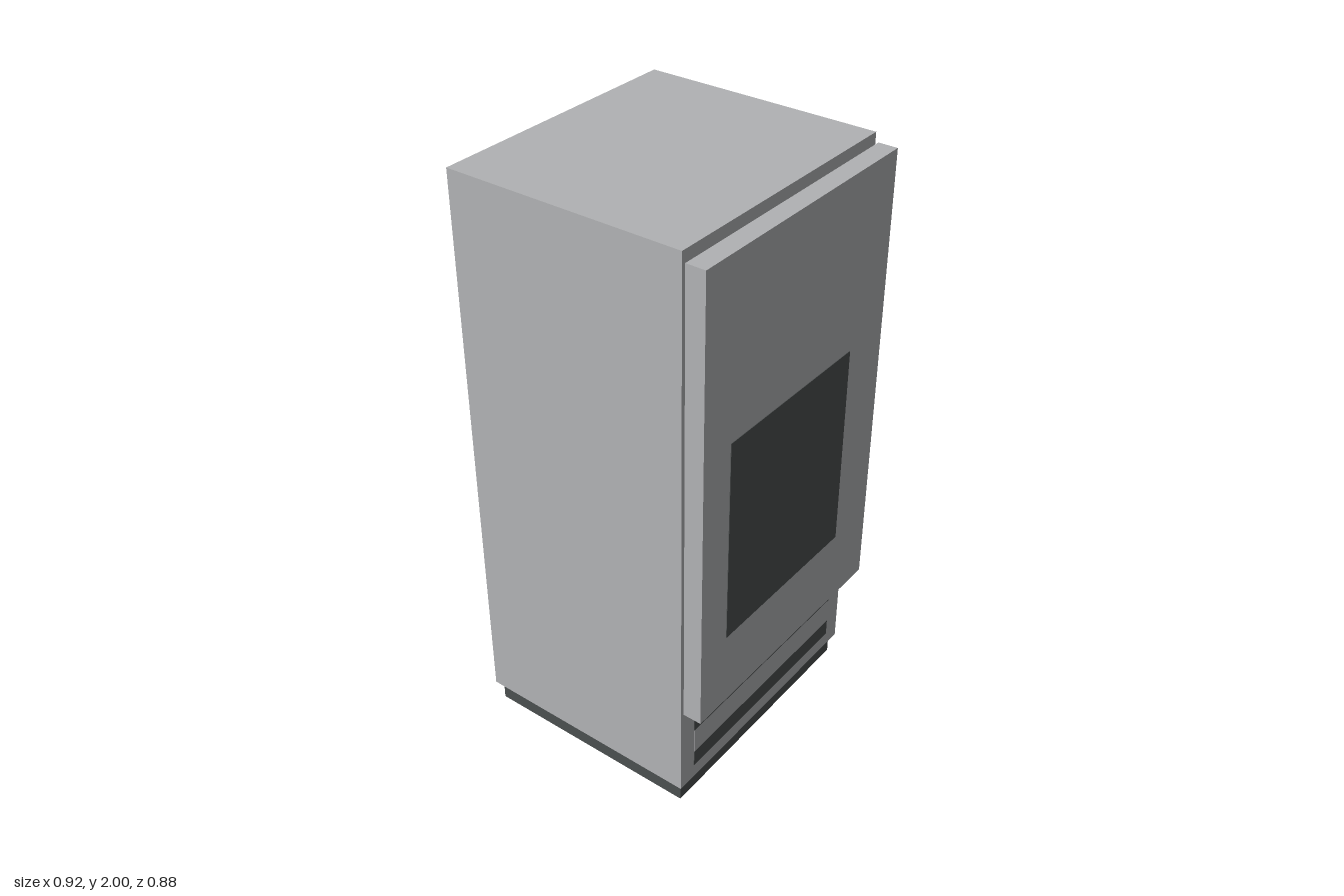
import * as THREE from 'three';

export function createModel() {
  const steel = new THREE.MeshStandardMaterial({ color: 0xb1b2b4 });
  steel.name = 'steelGrey';
  const dark = new THREE.MeshStandardMaterial({ color: 0x4b4f4f, side: THREE.DoubleSide });
  dark.name = 'darkGrey';

  const model = new THREE.Group();
  model.name = 'cabinet';

  // Box given by its lower and upper corners
  function box(name, material, [x0, y0, z0], [x1, y1, z1]) {
    const geometry = new THREE.BoxGeometry(x1 - x0, y1 - y0, z1 - z0);
    const mesh = new THREE.Mesh(geometry, material);
    mesh.name = name;
    mesh.position.set((x0 + x1) / 2, (y0 + y1) / 2, (z0 + z1) / 2);
    model.add(mesh);
    return mesh;
  }

  // Main cabinet and the door standing just in front of it
  box('body', steel, [-0.46, 0.072, -0.44], [0.46, 2, 0.366]);
  box('door', steel, [-0.46, 0.412, 0.376], [0.46, 1.97, 0.44]);

  // Door window, off-centre
  box('window', dark, [-0.335, 0.675, 0.437], [0.275, 1.385, 0.442]);

  // Two dark ventilation slots with a steel strip between them
  box('upperVent', dark, [-0.392, 0.282, 0.364], [0.392, 0.362, 0.368]);
  box('ventStrip', steel, [-0.392, 0.187, 0.364], [0.392, 0.282, 0.368]);
  box('lowerVent', dark, [-0.392, 0.125, 0.364], [0.392, 0.187, 0.368]);

  // Recessed plinth: four thin walls, open underneath, closed by a plate above
  const x = 0.442, back = -0.42, front = 0.35, t = 0.003, top = 0.072;
  box('plinthFront', dark, [-x, 0, front - t], [x, top, front]);
  box('plinthBack', dark, [-x, 0, back], [x, top, back + t]);
  for (const [name, side] of [['plinthLeft', 1], ['plinthRight', -1]]) {
    const wall = box(name, dark, [x - t, 0, back], [x, top, front]);
    wall.position.x *= side;
  }
  box('plinthPlate', dark, [-x, top - t, back], [x, top, front]);

  return model;
}
